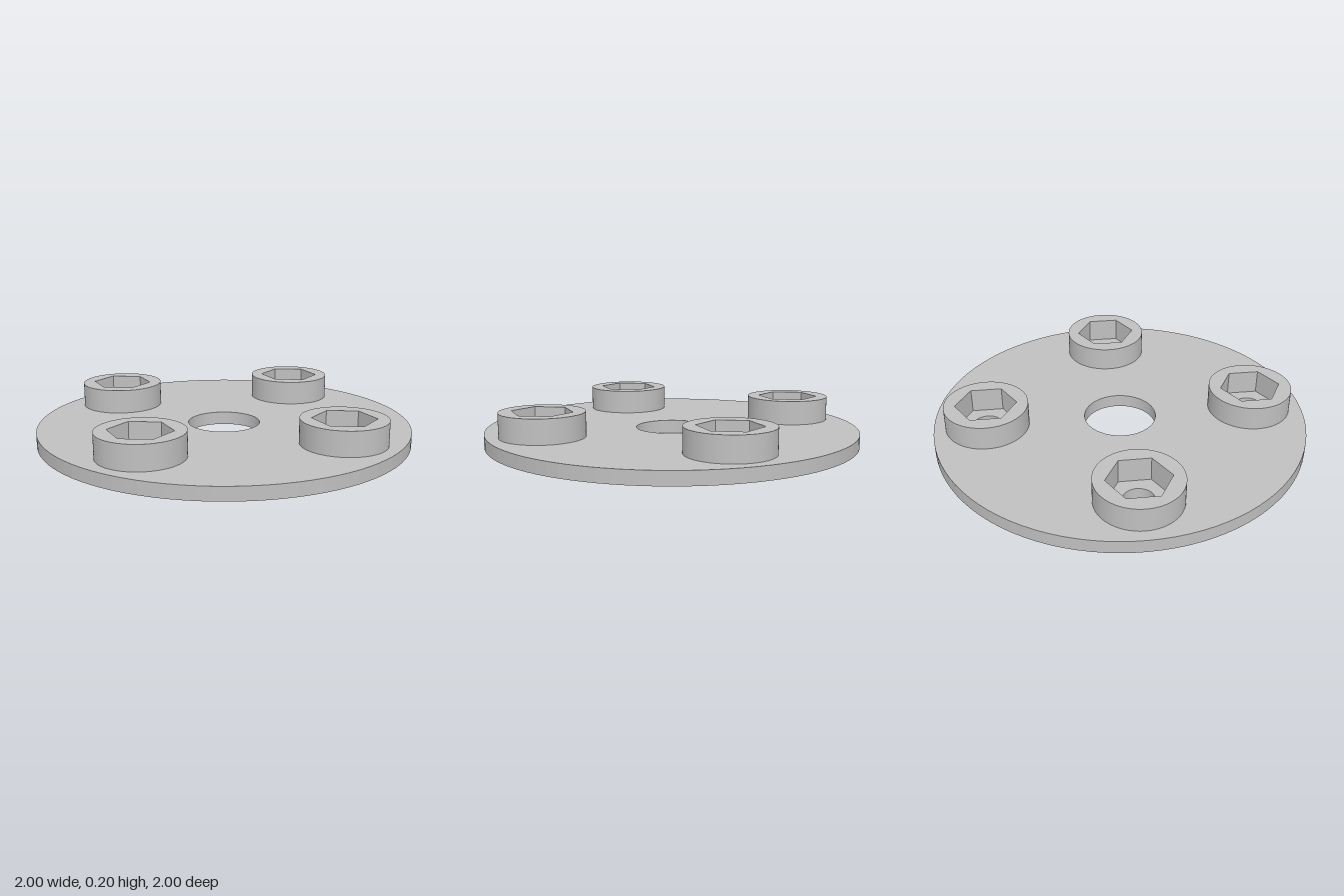
import * as THREE from 'three';

const PLATE_TOP = 0.07, TOP = 0.2, BOLT_RADIUS = 0.715;

// Circular path used for outlines and holes
function circle(PathType, x, y, r) {
  return new PathType().absarc(x, y, r, 0, Math.PI * 2, false);
}

// Extrude a flat outline upwards from y0 to y1
function slab(name, shape, y0, y1, material) {
  const geometry = new THREE.ExtrudeGeometry(shape, {
    depth: y1 - y0, bevelEnabled: false, curveSegments: 48,
  });
  geometry.rotateX(-Math.PI / 2);
  geometry.translate(0, y0, 0);
  // Smooth the round walls: point normals away from nearby facets only
  const mesh = new THREE.Mesh(geometry, material);
  mesh.name = name;
  return mesh;
}

export function createModel() {
  const group = new THREE.Group();
  group.name = 'flangePlate';
  const steel = new THREE.MeshStandardMaterial({ color: 0xc0c0c0 });
  steel.name = 'light grey';

  const centres = [0, 1, 2, 3].map((i) => {
    const a = (i * Math.PI) / 2;
    return [BOLT_RADIUS * Math.cos(a), BOLT_RADIUS * Math.sin(a)];
  });

  // Round plate with a centre bore and four bolt holes
  const plate = circle(THREE.Shape, 0, 0, 1);
  plate.holes.push(circle(THREE.Path, 0, 0, 0.193));
  centres.forEach(([x, y]) => plate.holes.push(circle(THREE.Path, x, y, 0.079)));
  group.add(slab('plate', plate, 0, PLATE_TOP, steel));

  // Raised round bosses with hexagonal nut pockets, points along z
  const boss = circle(THREE.Shape, 0, 0, 0.223);
  const hex = [];
  for (let i = 0; i < 6; i++) {
    const a = Math.PI / 2 + (i * Math.PI) / 3;
    hex.push(new THREE.Vector2(0.163 * Math.cos(a), 0.163 * Math.sin(a)));
  }
  boss.holes.push(new THREE.Path(hex));
  centres.forEach(([x, y], i) => {
    const mesh = slab(`nutBoss${i + 1}`, boss, PLATE_TOP, TOP, steel);
    mesh.position.set(x, 0, -y);
    group.add(mesh);
  });

  return group;
}
